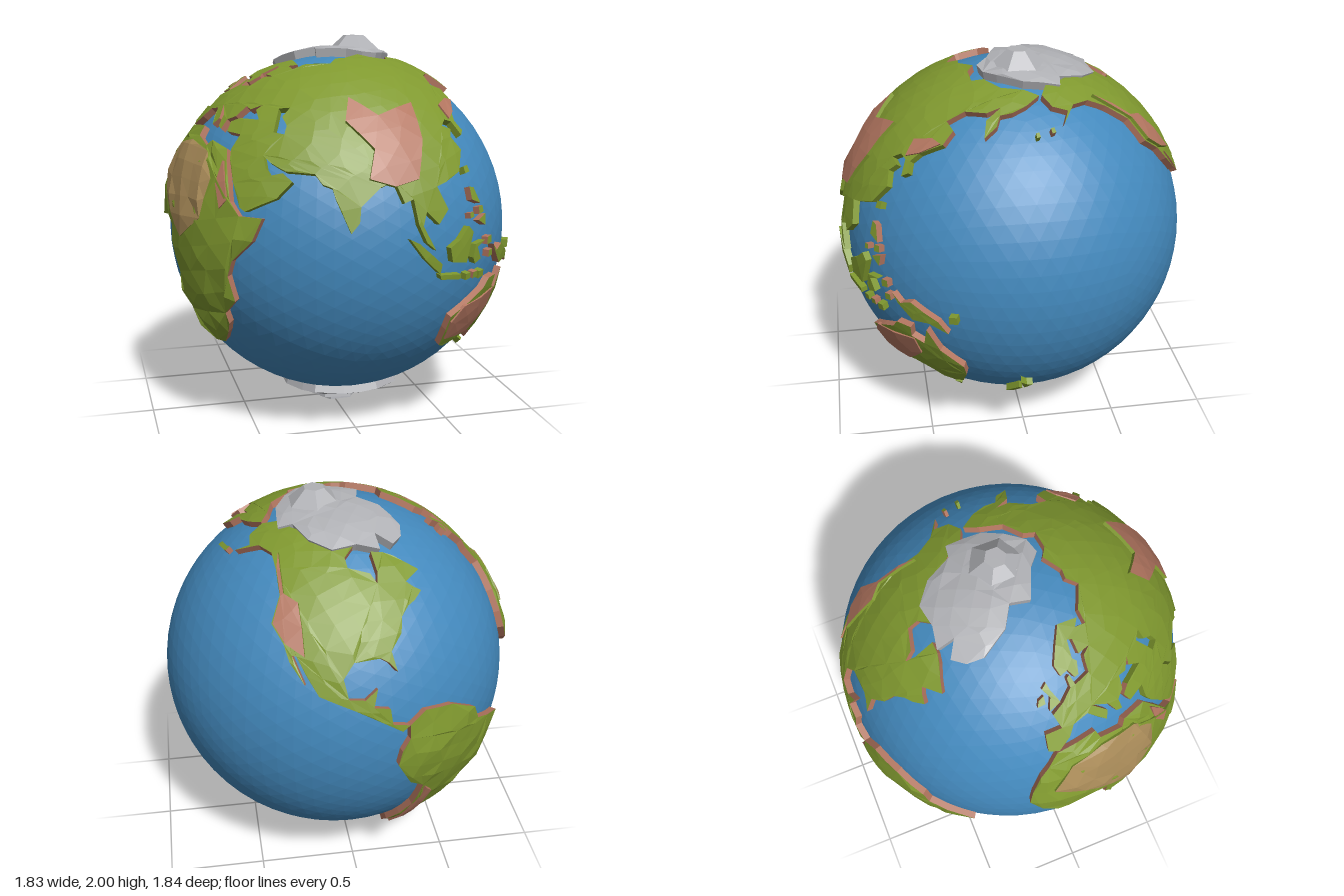
import * as THREE from 'three';

const mat = (name, color) => Object.assign(new THREE.MeshStandardMaterial({ color }), { name });
const ocean = mat('ocean blue', 0x4389bd), green = mat('land green', 0x80992f);
const brown = mat('earth brown', 0xb37660), tan = mat('desert tan', 0xa88a58), ice = mat('ice grey', 0xb0b1b5);

const CENTRE = new THREE.Vector3(0.03, 1, -0.005);
const SEA = 0.9, FLOOR = 0.885, TOP = 0.934, MAX_EDGE = 0.17, FRONT_LON = 88;
const rad = THREE.MathUtils.degToRad;

// longitude and latitude pair to a unit direction
function lonLat([lon, lat]) {
  const a = rad(lon - FRONT_LON), b = rad(lat);
  return new THREE.Vector3(Math.cos(b) * Math.sin(a), Math.sin(b), Math.cos(b) * Math.cos(a));
}
// plan position near a pole to a unit direction (sign 1 north, -1 south)
const polar = (sign) => ([x, z]) => {
  const px = (x - CENTRE.x) / 0.94, pz = (z - CENTRE.z) / 0.94;
  return new THREE.Vector3(px, sign * Math.sqrt(1 - px * px - pz * pz), pz);
};
const mid = (a, b) => a.clone().add(b).normalize();
const key = (p) => `${p.x.toFixed(5)},${p.y.toFixed(5)},${p.z.toFixed(5)}`;
const noise = (p) => {
  const s = Math.sin(p.x * 127.1 + p.y * 311.7 + p.z * 74.7) * 437.585;
  return s - Math.floor(s);
};

// raised slab on the sphere: curved top with optional relief, and side walls
function slab(name, points, o = {}) {
  const { top = green, wall = brown, r = TOP, floor = FLOOR, relief = 0, hole = [], toDir = lonLat, greenSouth = false } = o;
  let ring = points.map(toDir), inner = hole.map(toDir);
  const n = ring.reduce((s, p) => s.add(p), new THREE.Vector3()).normalize();
  const q = new THREE.Quaternion().setFromUnitVectors(n, new THREE.Vector3(0, 0, 1));
  const flat = (p) => {
    const v = p.clone().applyQuaternion(q);
    return new THREE.Vector2(v.x / v.z, v.y / v.z);
  };
  if (THREE.ShapeUtils.area(ring.map(flat)) < 0) ring.reverse();
  if (inner.length && THREE.ShapeUtils.area(inner.map(flat)) > 0) inner.reverse();

  const pos = [[], [], []], edge = new Set();
  const put = (list, p, h) => list.push(p.x * h, p.y * h, p.z * h);
  // walls
  const side = (a, b) => {
    if (a.distanceTo(b) > MAX_EDGE) {
      const m = mid(a, b);
      side(a, m); side(m, b);
      return;
    }
    edge.add(key(a)); edge.add(key(b));
    const list = pos[greenSouth && a.z + b.z > 0.9 ? 2 : 1];
    [[a, floor], [b, floor], [b, r], [a, floor], [b, r], [a, r]].forEach(([p, h]) => put(list, p, h));
  };
  for (const loop of [ring, inner]) loop.forEach((p, i) => side(p, loop[(i + 1) % loop.length]));
  // top, split until the facets follow the curve
  const face = (a, b, c) => {
    const ab = a.distanceTo(b), bc = b.distanceTo(c), ca = c.distanceTo(a), l = Math.max(ab, bc, ca);
    if (l <= MAX_EDGE) {
      for (const p of [a, b, c]) put(pos[0], p, r + (edge.has(key(p)) ? 0 : relief * noise(p)));
    } else if (l === ab) { const m = mid(a, b); face(a, m, c); face(m, b, c); }
    else if (l === bc) { const m = mid(b, c); face(a, b, m); face(a, m, c); }
    else { const m = mid(c, a); face(a, b, m); face(m, b, c); }
  };
  const all = [...ring, ...inner], plan = all.map(flat);
  for (const [i, j, k] of THREE.ShapeUtils.triangulateShape(ring.map(flat), inner.length ? [inner.map(flat)] : [])) {
    if (THREE.ShapeUtils.area([plan[i], plan[j], plan[k]]) > 0) face(all[i], all[j], all[k]);
    else face(all[i], all[k], all[j]);
  }
  const g = new THREE.BufferGeometry();
  g.setAttribute('position', new THREE.Float32BufferAttribute(pos.flat(), 3));
  let start = 0;
  pos.forEach((list, i) => { g.addGroup(start, list.length / 3, i); start += list.length / 3; });
  g.computeVertexNormals();
  const mesh = new THREE.Mesh(g, [top, wall, green]);
  mesh.name = name;
  return mesh;
}

// Eurasian coasts
const northCoast = [[-9, 37], [-9, 43], [-2, 43.5], [-4, 48.5], [2, 51], [8, 54], [8.5, 57], [10.5, 57.5], [11, 54], [20, 54.5],
  [22, 57.5], [24, 59.3], [30, 60], [22, 60.7], [25, 65], [22, 66], [17, 61], [18.5, 59.5], [15, 56], [12.5, 56], [11, 59],
  [6, 58.5], [5, 62], [13, 67], [25, 71], [40, 67.5], [33, 66.5], [40, 64.5], [46, 68], [60, 69], [68, 69], [72, 73], [82, 73.5],
  [104, 77], [113, 74], [130, 71], [140, 73], [160, 70], [180, 69], [190, 66], [179, 62.5], [170, 60], [163, 59], [162, 55],
  [157, 51], [156, 57], [163, 62], [155, 59.5], [142, 59], [135, 54.5], [141, 52], [139, 47], [130, 42.5]];
const southCoast = [[127.5, 39.5], [129, 36], [126.5, 34.5], [125, 39.5], [121.5, 40.5], [118, 38.5], [122, 37], [119.5, 34.5],
  [122, 30], [117, 23.5], [110, 21], [106, 20], [109, 13], [105, 9], [101, 13], [99.5, 9], [103.5, 1.5], [100.5, 4], [98, 9.5],
  [97, 17], [94, 16], [91.5, 22.5], [87, 21], [80.5, 15.5], [80, 11], [77.5, 8], [73, 18], [72, 21], [69, 22], [66.5, 25],
  [57, 25.5], [54, 26.7], [51, 28], [48, 30], [50, 26], [52, 24], [56, 25], [59.5, 22.5], [55, 17.5], [45, 13], [43, 14],
  [39, 21], [35, 28], [34, 31], [35.5, 36], [28, 36.5], [27, 40], [31, 41.5], [41, 41.5], [37, 45], [39, 47], [34, 45],
  [30.5, 46], [28, 42], [24, 40.5], [23.5, 37], [21, 38], [19.5, 42], [13, 45.5], [18, 40.5], [16, 38], [13, 41], [10, 44],
  [3, 43], [0, 39.5], [-5, 36]];
const caspian = [[48, 46], [53, 46.5], [51, 43], [54, 40], [54, 37], [49.5, 37.5], [49, 41]];

const africa = [[-6, 35.5], [10, 37], [11, 33.5], [20, 31], [22, 33], [32, 31], [34, 27], [37, 21], [39, 15.5], [43, 11.5],
  [51, 11.5], [48, 4.5], [41, -2], [39, -7], [40.5, -15], [35, -20], [35, -24], [32.5, -28], [27, -33.5], [20, -34.5],
  [18, -32], [14.5, -22], [12, -17], [13.5, -10], [9, -1], [9.5, 4], [4, 6.5], [-4, 5], [-8, 4.5], [-13, 8.5], [-17, 14.5],
  [-16, 20], [-13, 27], [-10, 30.5]];
const northAmerica = [[-168, 66], [-156, 71], [-141, 70], [-128, 70], [-115, 68.5], [-96, 68.5], [-88, 69.5], [-82, 69],
  [-87, 65], [-94, 61], [-93, 57.5], [-82, 55], [-80, 51.5], [-78, 55], [-77, 62], [-70, 61], [-65, 59], [-61, 56], [-56, 52],
  [-66, 50], [-64, 48], [-61, 46], [-66, 44], [-70, 43], [-74, 40.5], [-76, 36], [-81, 31.5], [-80, 25.5], [-82.5, 28.5],
  [-85, 30], [-94, 29.5], [-97.5, 25], [-96, 19], [-91, 18.5], [-87, 21.5], [-88.5, 16], [-83.5, 15], [-83, 10], [-77.5, 8.5],
  [-80, 7], [-86, 11], [-94, 15.5], [-105, 20], [-109, 25.5], [-113, 31], [-114.5, 31], [-109.5, 23], [-115, 29], [-118, 34],
  [-124, 39], [-124, 47.5], [-131, 55], [-139, 59.5], [-151, 60], [-163, 54.5], [-157, 58.5], [-165, 61]];
const southAmerica = [[-77.5, 8.5], [-72, 12], [-62, 10.5], [-52, 5], [-50, 0], [-44, -2.5], [-35, -6], [-39, -14], [-41, -22],
  [-48, -26], [-54, -34], [-58, -36.5], [-62, -39], [-65, -43], [-68, -50], [-68, -54.5], [-74, -52], [-75, -46], [-73, -38],
  [-71, -30], [-70.5, -18], [-76, -14], [-81, -5], [-80, 0], [-77.5, 4]];
const australia = [[114, -22], [114, -27], [115, -34], [118, -35], [124, -33.5], [131, -31.5], [138, -34], [141, -38], [146, -39],
  [150, -37.5], [153, -31], [153, -26], [146, -19], [142.5, -11], [140.5, -17.5], [136, -16], [136.5, -12], [131, -12],
  [128.5, -15], [122, -18]];
const antarctica = [[-58, -64], [-62, -72], [-45, -77], [-30, -75], [-10, -71], [15, -70], [40, -69], [55, -67], [80, -68],
  [110, -67], [135, -67], [160, -70], [168, -74], [-160, -77], [-140, -75], [-110, -73.5], [-80, -73], [-68, -68]];
const arctic = [[-0.2, -0.38], [-0.12, -0.33], [-0.13, -0.42], [-0.02, -0.4], [0.1, -0.42], [0.2, -0.34], [0.26, -0.21],
  [0.33, -0.2], [0.32, -0.02], [0.25, 0.1], [0.2, 0.16], [0.12, 0.18], [0.05, 0.12], [-0.1, 0.06], [-0.08, -0.04], [-0.18, -0.1],
  [-0.26, -0.24], [-0.25, -0.32]];

// islands: name, outline, wall colour
const islands = [
  ['tasmania', [[145, -41], [148, -41], [147, -43.5]], green],
  ['newZealandNorth', [[173, -35], [175.5, -37.5], [178, -38], [175, -41.5], [174, -39]], green],
  ['newZealandSouth', [[172.5, -40.5], [174, -42], [170, -46.5], [167, -46]], green],
  ['newGuinea', [[131, -1], [134, -3.5], [138, -2], [147, -6.5], [150, -10.5], [144, -8], [138, -8.5], [133, -4]], brown],
  ['borneo', [[109, 1.5], [113, 3.5], [117, 7], [119, 5], [116, -4], [110, -3]], green],
  ['sumatra', [[95, 5.5], [98, 4], [106, -3], [105.5, -6], [100, -1]], green],
  ['java', [[105.5, -6.3], [114, -7.3], [114, -8.9], [106, -7.8]], green],
  ['sulawesi', [[119, -3], [120, 1], [125, 1.5], [121, 0], [123, -4], [120, -5]], green],
  ['luzon', [[120, 18.5], [122, 18], [124, 13], [120, 14.5]], brown],
  ['mindanao', [[122, 8], [126, 9.5], [125.5, 6]], brown],
  ['britain', [[-5, 50], [1, 51.5], [-2, 56], [-3, 58.5], [-6, 57], [-3, 54]], brown],
  ['ireland', [[-10, 52], [-6, 52.5], [-6, 55], [-9, 54]], brown],
];
// small islets: longitude, latitude, half size in degrees
const islets = [[124, 11, 1.2], [121, 23.8, 1.2], [128, 1, 1.3], [117.5, -8.6, 1.1], [121, -8.7, 1.1], [124.5, -9.2, 1.3],
  [129, -3.3, 1.2], [152, -5, 1.4], [119, 10, 0.9], [-178, 52, 0.9], [-170, 53, 1]];

// raised or painted regions on top of the land
const regions = [
  ['highPlateau', [[78.5, 50], [89.7, 43], [107, 47.2], [104.5, 34.3], [99.3, 22.5], [91.3, 20.8], [83.4, 23.2], [86, 32],
    [76.6, 41.3]], { top: brown, wall: green, r: 0.952 }],
  ['eastAsianSlope', [[124.5, 40.5], [130, 42.5], [138, 47], [133, 48], [124, 46]], { top: brown, r: 0.941 }],
  ['outback', [[114.8, -24], [119, -19], [137, -16.5], [138, -23], [129, -31], [115.5, -31]], { top: brown, r: 0.941 }],
  ['desert', [[-9, 20], [-2, 29], [10, 31.5], [24, 29], [30, 21], [28, 9], [18, 2], [10, 8]],
    { top: tan, wall: green, r: 0.95, relief: 0.016 }],
  ['redSeaHills', [[33, 27], [36.3, 21], [38.3, 15.5], [36, 13], [32.5, 20]], { top: brown, r: 0.95 }],
  ['westernMountains', [[-110, 31], [-117, 34], [-123, 39], [-123, 47], [-130, 55], [-134, 60], [-122, 48], [-115, 46],
    [-112, 39]], { top: brown, wall: green, r: 0.951 }],
  ['southernAndes', [[-69.5, -19], [-66.5, -22], [-68.5, -35], [-70, -48], [-73, -48], [-71.3, -33]], { top: brown, r: 0.95 }],
];

export function createModel() {
  const globe = new THREE.Group();
  globe.name = 'globe';
  globe.position.copy(CENTRE);

  // faceted ocean ball
  const ball = new THREE.IcosahedronGeometry(SEA, 11);
  ball.computeVertexNormals();
  const sea = new THREE.Mesh(ball, ocean);
  sea.name = 'ocean';
  globe.add(sea);

  // continents
  globe.add(
    slab('eurasia', [...northCoast, ...southCoast], { hole: caspian, greenSouth: true }),
    slab('africa', africa, { relief: 0.02 }),
    slab('northAmerica', northAmerica, { relief: 0.004 }),
    slab('southAmerica', southAmerica, { relief: 0.016 }),
    slab('australia', australia),
  );
  for (const [name, pts, wall] of islands) globe.add(slab(name, pts, { wall }));
  islets.forEach(([x, y, s], i) =>
    globe.add(slab(`islet${i + 1}`, [[x - s, y - s], [x + s, y - s * 0.7], [x + s * 0.8, y + s], [x - s, y + s * 0.8]],
      { wall: i % 2 ? green : brown })));
  for (const [name, pts, o] of regions) globe.add(slab(name, pts, { floor: 0.925, ...o }));

  // polar ice
  const frost = { top: ice, wall: ice };
  globe.add(
    slab('arcticIce', arctic, { ...frost, r: 0.945, relief: 0.01, toDir: polar(1) }),
    slab('antarctica', antarctica, { ...frost, r: 0.94, relief: 0.004 }),
    slab('southIceShelf', [[-0.15, 0.04], [-0.06, -0.06], [0.09, -0.07], [0.14, 0.06], [0.06, 0.18], [-0.08, 0.18]],
      { ...frost, r: 0.972, floor: 0.92, toDir: polar(-1) }),
    slab('southIcePeak', [[-0.07, 0.04], [0.03, -0.03], [0.1, 0.02], [0.08, 0.1], [-0.03, 0.11]],
      { ...frost, r: 1, floor: 0.95, toDir: polar(-1) }),
  );
  const hump = new THREE.CylinderGeometry(0.055, 0.14, 0.075, 6).toNonIndexed();
  hump.computeVertexNormals();
  const peak = new THREE.Mesh(hump, ice);
  peak.name = 'northIcePeak';
  peak.position.set(0.1, 0.9625, -0.02);
  globe.add(peak);

  const model = new THREE.Group();
  model.name = 'model';
  model.add(globe);
  return model;
}
